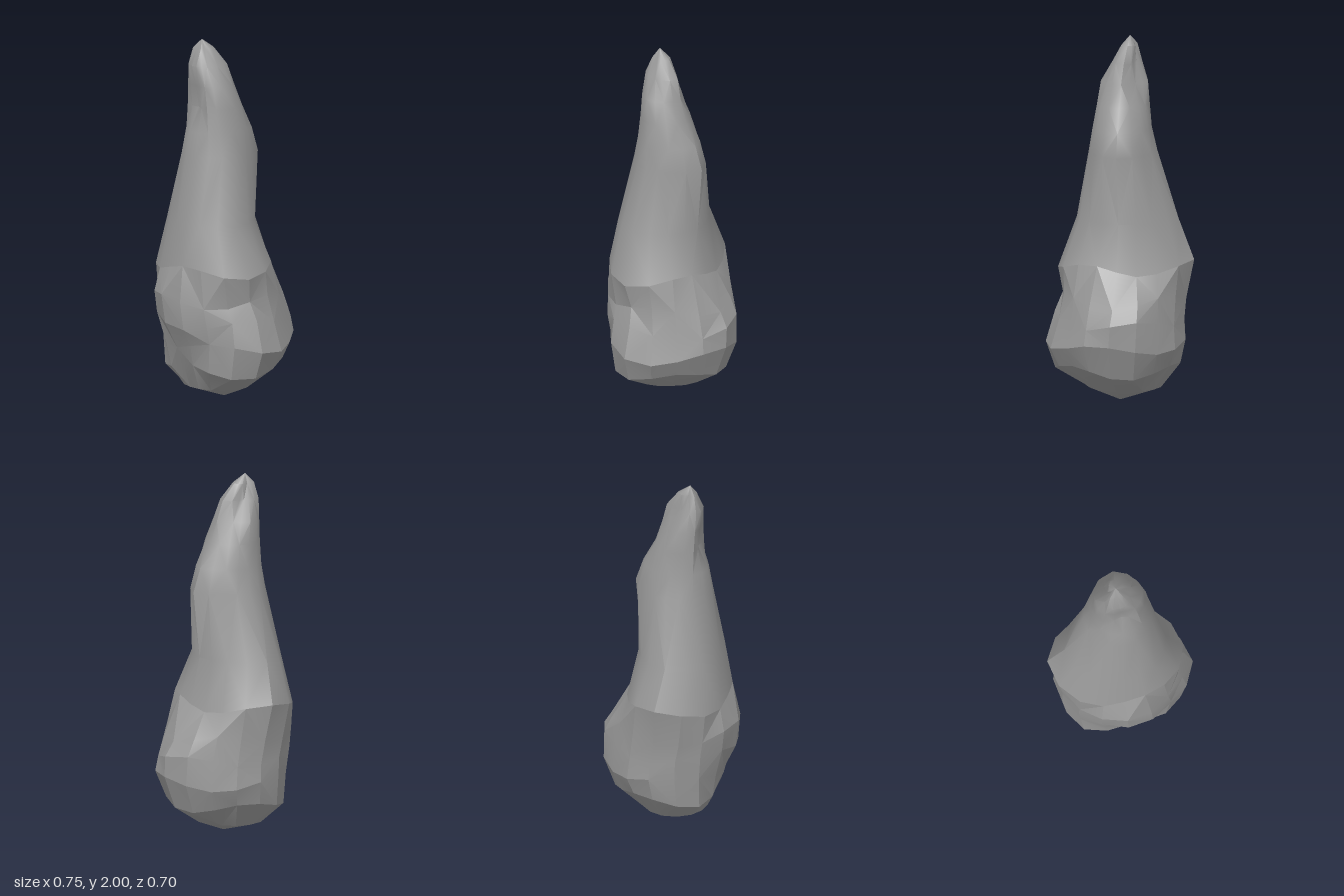
import * as THREE from 'three';
import { toCreasedNormals } from 'three/addons/utils/BufferGeometryUtils.js';

// Each ring: height, centre x, centre z, then reach from the axis in eight
// directions, turning from +x (left) through +z (front), -x and -z.
const RINGS = [
  [0.07, -0.02, 0.01, 0.15, 0.19, 0.20, 0.21, 0.23, 0.22, 0.18, 0.17],
  [0.19, 0.00, 0.01, 0.32, 0.36, 0.32, 0.26, 0.33, 0.33, 0.30, 0.32],
  [0.33, 0.01, 0.00, 0.37, 0.41, 0.34, 0.30, 0.345, 0.36, 0.35, 0.39],
  [0.46, 0.00, 0.00, 0.335, 0.36, 0.355, 0.37, 0.365, 0.35, 0.34, 0.39],
  [0.58, -0.02, 0.01, 0.31, 0.32, 0.35, 0.39, 0.37, 0.36, 0.32, 0.34],
  [0.75, -0.04, 0.02, 0.27, 0.35, 0.34, 0.33, 0.38, 0.40, 0.28, 0.23],
  [1.00, -0.06, 0.04, 0.18, 0.25, 0.29, 0.29, 0.31, 0.31, 0.21, 0.17],
  [1.37, -0.03, 0.02, 0.16, 0.18, 0.205, 0.235, 0.225, 0.20, 0.165, 0.205],
  [1.50, -0.04, 0.03, 0.14, 0.16, 0.185, 0.21, 0.205, 0.165, 0.14, 0.16],
  [1.63, -0.05, 0.04, 0.105, 0.135, 0.17, 0.155, 0.195, 0.15, 0.10, 0.09],
  [1.75, -0.065, 0.05, 0.06, 0.12, 0.16, 0.17, 0.19, 0.14, 0.05, 0.05],
  [1.86, -0.09, 0.06, 0.01, 0.05, 0.14, 0.19, 0.185, 0.09, 0.00, 0.02],
  [1.95, -0.105, 0.06, -0.05, 0.00, 0.10, 0.15, 0.16, 0.06, -0.01, -0.05],
];
const SIDES = 16;
const SHOULDER = 5; // ring where the faceted base meets the smooth column

// Smooth closed interpolation between the eight reaches
function reach(r, t) {
  const i = Math.floor(t), f = t - i;
  const [a, b, c, d] = [-1, 0, 1, 2].map((k) => r[(i + k + 8) % 8]);
  return b + 0.5 * f * (c - a + f * (2 * a - 5 * b + 4 * c - d + f * (3 * (b - c) + d - a)));
}

// All corners: the rings, then the foot and the tip
function buildCorners() {
  const pos = [];
  RINGS.forEach(([y, cx, cz, ...h], row) => {
    // reaches measured from the ring's own centre
    const r = h.map((v, k) => v - cx * Math.cos(k * Math.PI / 4) - cz * Math.sin(k * Math.PI / 4));
    for (let i = 0; i < SIDES; i++) {
      const a = (i / SIDES) * Math.PI * 2;
      const d = reach(r, (i * 8) / SIDES);
      // uneven chipped edges around the base
      const wobble = row > 0 && row <= SHOULDER ? 0.03 * Math.sin(3 * a + row * 1.7) : 0;
      pos.push(cx + d * Math.cos(a), y + wobble, cz + d * Math.sin(a));
    }
  });
  pos.push(0, 0, 0, -0.11, 2, 0.06);
  return pos;
}

// Walls between two rings
function walls(from, to) {
  const index = [];
  for (let row = from; row < to; row++) {
    for (let i = 0; i < SIDES; i++) {
      const a = row * SIDES + i, b = row * SIDES + ((i + 1) % SIDES);
      const c = a + SIDES, d = b + SIDES;
      if ((i + row) % 2) index.push(a, c, b, b, c, d);
      else index.push(a, d, b, a, c, d);
    }
  }
  return index;
}

export function createModel() {
  const group = new THREE.Group();
  const corners = buildCorners();
  const material = new THREE.MeshStandardMaterial({ color: 0x999999 });
  const top = RINGS.length - 1;
  const foot = RINGS.length * SIDES, tip = foot + 1;

  function addPart(name, index, crease) {
    const geometry = new THREE.BufferGeometry();
    geometry.setAttribute('position', new THREE.Float32BufferAttribute(corners, 3));
    geometry.setIndex(index);
    const mesh = new THREE.Mesh(toCreasedNormals(geometry, crease), material);
    mesh.name = name;
    group.add(mesh);
  }

  // Faceted base and smooth column, closed by fans at the foot and the tip
  const base = walls(0, SHOULDER), column = walls(SHOULDER, top);
  for (let i = 0; i < SIDES; i++) {
    const n = (i + 1) % SIDES;
    base.push(foot, i, n);
    column.push(tip, top * SIDES + n, top * SIDES + i);
  }
  addPart('rockBase', base, 0.3);
  addPart('rockColumn', column, 0.65);
  return group;
}
